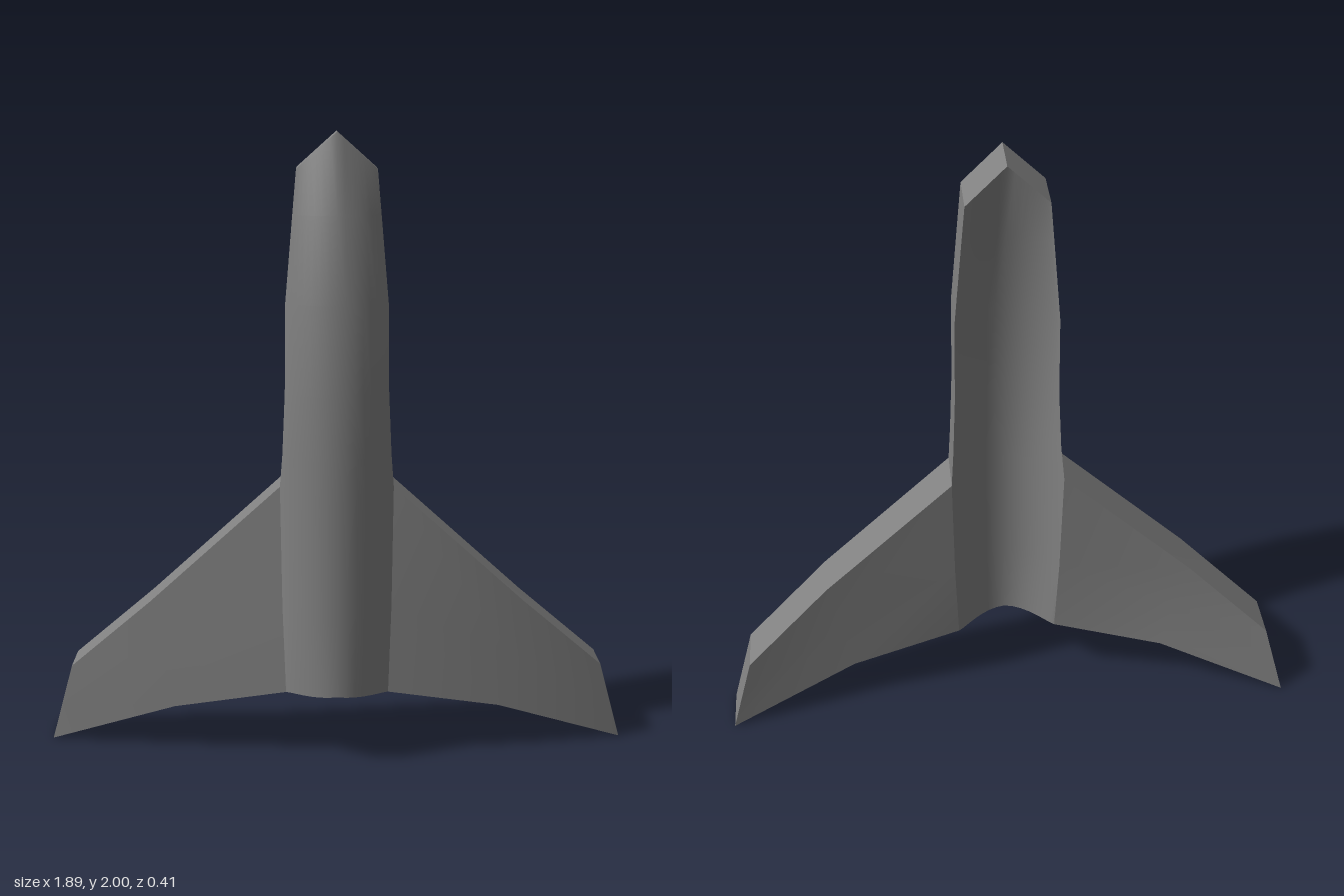
import * as THREE from 'three';
import { toCreasedNormals } from 'three/addons/utils/BufferGeometryUtils.js';

const THICK = 0.15;
const SEG = 18;
const back = ([x, y, z]) => [x, y, z - THICK];
const flip = ([x, y, z]) => [-x, y, z];

function makeMesh(name, triangles, crease) {
  const geo = new THREE.BufferGeometry();
  geo.setAttribute('position', new THREE.Float32BufferAttribute(triangles.flat(2), 3));
  const mesh = new THREE.Mesh(toCreasedNormals(geo, crease), new THREE.MeshStandardMaterial({ color: 0x808080 }));
  mesh.name = name;
  return mesh;
}

// Front skin from a grid (rows go down, columns go +x) plus its parallel back skin
function skin(name, grid) {
  const tris = [];
  for (let i = 0; i < grid.length - 1; i++) {
    for (let j = 0; j < grid[i].length - 1; j++) {
      const a = grid[i][j], b = grid[i][j + 1], c = grid[i + 1][j], d = grid[i + 1][j + 1];
      tris.push([a, c, d], [a, d, b]);
      tris.push([a, d, c].map(back), [a, b, d].map(back));
    }
  }
  return makeMesh(name, tris, 0.7);
}

// Section profiles across the body: a ridge, or an arch that flares out with higher power
const ridge = (s) => 1 - Math.abs(s);
const arch = (power) => (s) => Math.max(0, 1 - s * s) ** power;

// Body section: sides at z = edge, crest at z = crest, sides lowered by drop
function section(y, width, edge, crest, profile, drop = 0) {
  return Array.from({ length: SEG + 1 }, (_, k) => {
    const s = Math.sin((k / SEG - 0.5) * Math.PI);
    return [width * s, y - drop * Math.abs(s), edge + (crest - edge) * profile(s)];
  });
}

export function createModel() {
  const group = new THREE.Group();
  group.name = 'glider';

  // Body, from the pointed nose to the flared tail
  const body = [
    section(2, 0.125, 0.079, 0.1, ridge, 0.112),
    section(1.75, 0.137, 0.083, 0.147, arch(0.9)),
    section(1.48, 0.16, 0.092, 0.185, arch(0.75)),
    section(1.2, 0.163, 0.1, 0.2, arch(0.7)),
    section(1.0, 0.172, 0.09, 0.205, arch(0.75)),
    section(0.89, 0.181, 0.065, 0.205, arch(0.75)),
    section(0.5, 0.175, 0.09, 0.205, arch(0.75)),
    section(0.235, 0.165, 0.11, 0.205, arch(1.25), 0.016),
  ];
  group.add(skin('body', body));

  // Swept wings: leading edge, middle and trailing edge, each from root to tip
  const wing = [
    [body[5][SEG], [0.605, 0.503, 0.04], [0.875, 0.26, -0.035]],
    [body[6][SEG], [0.565, 0.33, 0.05], [0.911, 0.13, -0.045]],
    [body[7][SEG], [0.53, 0.15, 0.052], [0.947, 0, -0.055]],
  ];
  group.add(skin('leftWing', wing));
  group.add(skin('rightWing', wing.map((row) => row.map(flip).reverse())));

  // Rim wall around the whole outline, from tail centre round to the nose, then mirrored
  const mid = SEG / 2;
  const half = [
    ...body[7].slice(mid),
    ...wing[2].slice(1),
    ...[...wing[0]].reverse(),
    ...[4, 3, 2, 1, 0].map((i) => body[i][SEG]),
    body[0][mid],
  ];
  const outline = [...half, ...half.map(flip).reverse().slice(1)];
  const rim = [];
  for (let i = 0; i < outline.length - 1; i++) {
    const p = outline[i], q = outline[i + 1];
    rim.push([p, back(p), q], [back(p), back(q), q]);
  }
  group.add(makeMesh('rim', rim, 0.35));

  return group;
}
